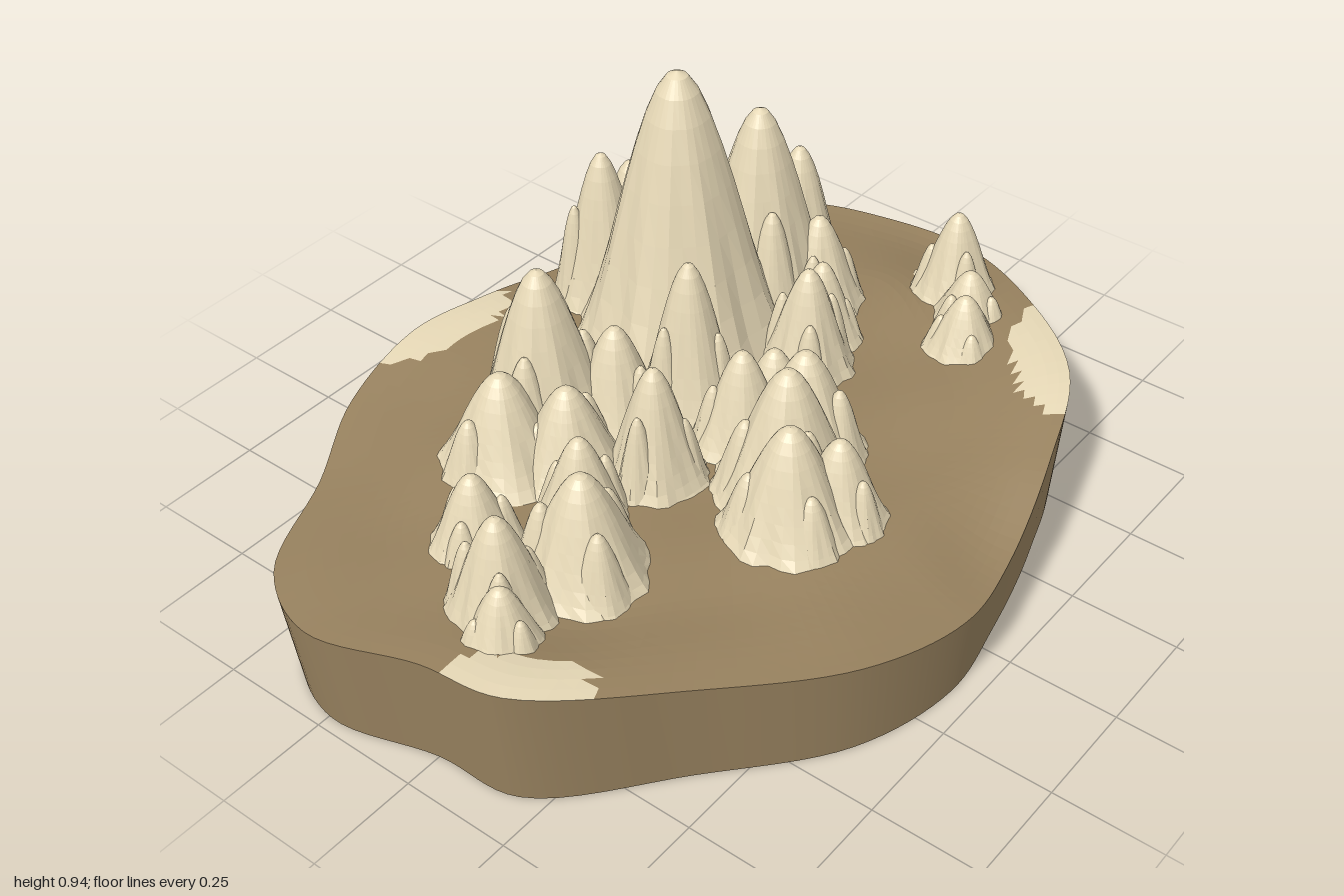
import * as THREE from 'three';
import { mergeGeometries } from 'three/addons/utils/BufferGeometryUtils.js';

const SEG = 160, FLOOR = 0.25;

// Island outline, counter-clockwise from the left tip: [x, z, rim height]
const OUTLINE = [
  [1, -0.07, 0.175], [0.945, -0.24, 0.2], [0.87, -0.38, 0.22], [0.68, -0.59, 0.24], [0.27, -0.665, 0.25],
  [0, -0.7, 0.29], [-0.2, -0.73, 0.295], [-0.45, -0.68, 0.27], [-0.66, -0.56, 0.25], [-0.92, -0.42, 0.26],
  [-1, -0.25, 0.26], [-0.94, 0, 0.28], [-0.92, 0.2, 0.3], [-0.66, 0.44, 0.26], [-0.4, 0.65, 0.24],
  [-0.15, 0.72, 0.21], [0.06, 0.69, 0.195], [0.33, 0.62, 0.26], [0.57, 0.52, 0.3], [0.81, 0.24, 0.27],
];

// Mountains from back to front: [x, z, summit height, foot radius]
const PEAKS = [
  [0.2, -0.28, 0.945, 0.28], [0.44, -0.24, 0.755, 0.21], [0.35, -0.41, 0.73, 0.2],
  [0.23, -0.53, 0.63, 0.14], [0.33, -0.53, 0.56, 0.14], [0.58, -0.23, 0.59, 0.14],
  [0.51, -0.12, 0.48, 0.13], [0.02, -0.11, 0.625, 0.14],
  [-0.22, -0.32, 0.65, 0.19], [-0.37, -0.3, 0.48, 0.17], [-0.12, -0.2, 0.5, 0.14],
  [-0.3, -0.18, 0.46, 0.15], [-0.21, -0.02, 0.53, 0.13], [-0.4, -0.06, 0.45, 0.12],
  [-0.6, -0.17, 0.43, 0.12], [-0.53, 0.06, 0.505, 0.17], [-0.72, 0.01, 0.5, 0.14],
  [-0.78, 0.07, 0.4, 0.11], [0, 0.05, 0.48, 0.13], [0.06, 0.17, 0.5, 0.16],
  [-0.07, 0.22, 0.555, 0.18], [-0.17, 0.3, 0.51, 0.17], [-0.08, 0.36, 0.45, 0.13],
  [0.1, 0.06, 0.43, 0.12], [0.29, 0.01, 0.51, 0.13], [0.4, -0.03, 0.45, 0.11],
  [0.74, 0.11, 0.46, 0.12], [0.81, 0.06, 0.38, 0.08], [0.66, 0.2, 0.38, 0.11], [0.56, 0.25, 0.39, 0.11],
];

function seeded(seed) {
  return () => {
    seed = (seed * 16807) % 2147483647;
    return seed / 2147483647;
  };
}

// Surface through a list of closed rings; keep() may filter triangles by mean height
function loft(rings, keep = () => true) {
  const index = [], flat = rings.flat();
  const add = (...t) => {
    if (keep((flat[t[0]].y + flat[t[1]].y + flat[t[2]].y) / 3)) index.push(...t);
  };
  for (let r = 0; r < rings.length - 1; r++) {
    for (let i = 0; i < SEG; i++) {
      const j = (i + 1) % SEG, a = r * SEG, b = a + SEG;
      add(a + i, b + i, b + j);
      add(a + i, b + j, a + j);
    }
  }
  const geo = new THREE.BufferGeometry().setFromPoints(flat);
  geo.setIndex(index);
  geo.computeVertexNormals();
  return geo;
}

// Bell-shaped mountain whose flanks roughen towards the foot
function mountain(x, z, top, radius, rand) {
  const foot = FLOOR - 0.02, profile = [];
  for (let i = 0; i <= 12; i++) {
    const t = 1 - i / 12;
    profile.push(new THREE.Vector2(radius * t, foot + (top - foot) * Math.cos(t * Math.PI / 2) ** 2));
  }
  const geo = new THREE.LatheGeometry(profile, 30);
  const p = geo.attributes.position;
  const phase = rand() * 6.28, ribs = 5 + Math.floor(rand() * 3);
  for (let i = 0; i < p.count; i++) {
    const px = p.getX(i), pz = p.getZ(i), a = Math.atan2(pz, px);
    const t = Math.hypot(px, pz) / radius;
    const rough = 0.05 * Math.sin(a * ribs + phase) + 0.04 * Math.sin(a * 3 - phase)
      + 0.03 * Math.sin(a * 11 + t * 9 + phase);
    const k = 1 + t * rough;
    p.setXYZ(i, x + px * k, p.getY(i), z + pz * k);
  }
  geo.computeVertexNormals();
  return geo;
}

export function createModel() {
  const model = new THREE.Group();
  const earth = new THREE.MeshStandardMaterial({ color: 0x98825f });
  const earthFlat = new THREE.MeshStandardMaterial({ color: 0x98825f, flatShading: true });
  const stone = new THREE.MeshStandardMaterial({ color: 0xe6d8b6, flatShading: true });
  const part = (name, geo, mat) => {
    const mesh = new THREE.Mesh(geo, mat);
    mesh.name = name;
    model.add(mesh);
  };

  const curve = new THREE.CatmullRomCurve3(OUTLINE.map(([x, z, y]) => new THREE.Vector3(x, y, z)), true);
  const rim = curve.getPoints(SEG).slice(0, SEG);
  const ring = (s, height) => rim.map((p) => new THREE.Vector3(p.x * s, height(p), p.z * s));

  // Gently rolling ground that blends into the rim
  const ground = [];
  for (let r = 0; r <= 30; r++) {
    const s = r / 30, w = THREE.MathUtils.smoothstep(s, 0.65, 0.97);
    ground.push(ring(s, (p) => {
      const wave = 0.008 * Math.sin(p.x * s * 11) * Math.sin(p.z * s * 13) * (1 - w);
      return THREE.MathUtils.lerp(FLOOR, p.y, w) + wave;
    }));
  }
  part('ground', loft(ground, (y) => y < 0.285), earthFlat);
  part('paleRises', loft(ground, (y) => y >= 0.285), stone);

  // Tapered side wall and flat underside
  part('baseWall', loft([ring(1, (p) => p.y), ring(0.97, () => 0)]), earth);
  part('underside', loft([ring(0.97, () => 0), ring(0, () => 0)]), earth);

  // Mountains; all but the main summit carry smaller spurs
  const rand = seeded(4217);
  PEAKS.forEach(([x, z, top, radius], n) => {
    const shapes = [mountain(x, z, top, radius, rand)];
    const start = rand() * 6.28, spurs = n === 0 ? 0 : 3;
    for (let i = 0; i < spurs; i++) {
      const a = start + i * 2.1, d = radius * 0.48;
      const h = FLOOR + (top - FLOOR) * (0.5 + 0.2 * rand());
      shapes.push(mountain(x + Math.cos(a) * d, z + Math.sin(a) * d, h, radius * 0.5, rand));
    }
    part(n === 0 ? 'mainSummit' : 'mountain' + n, mergeGeometries(shapes), stone);
  });
  return model;
}
